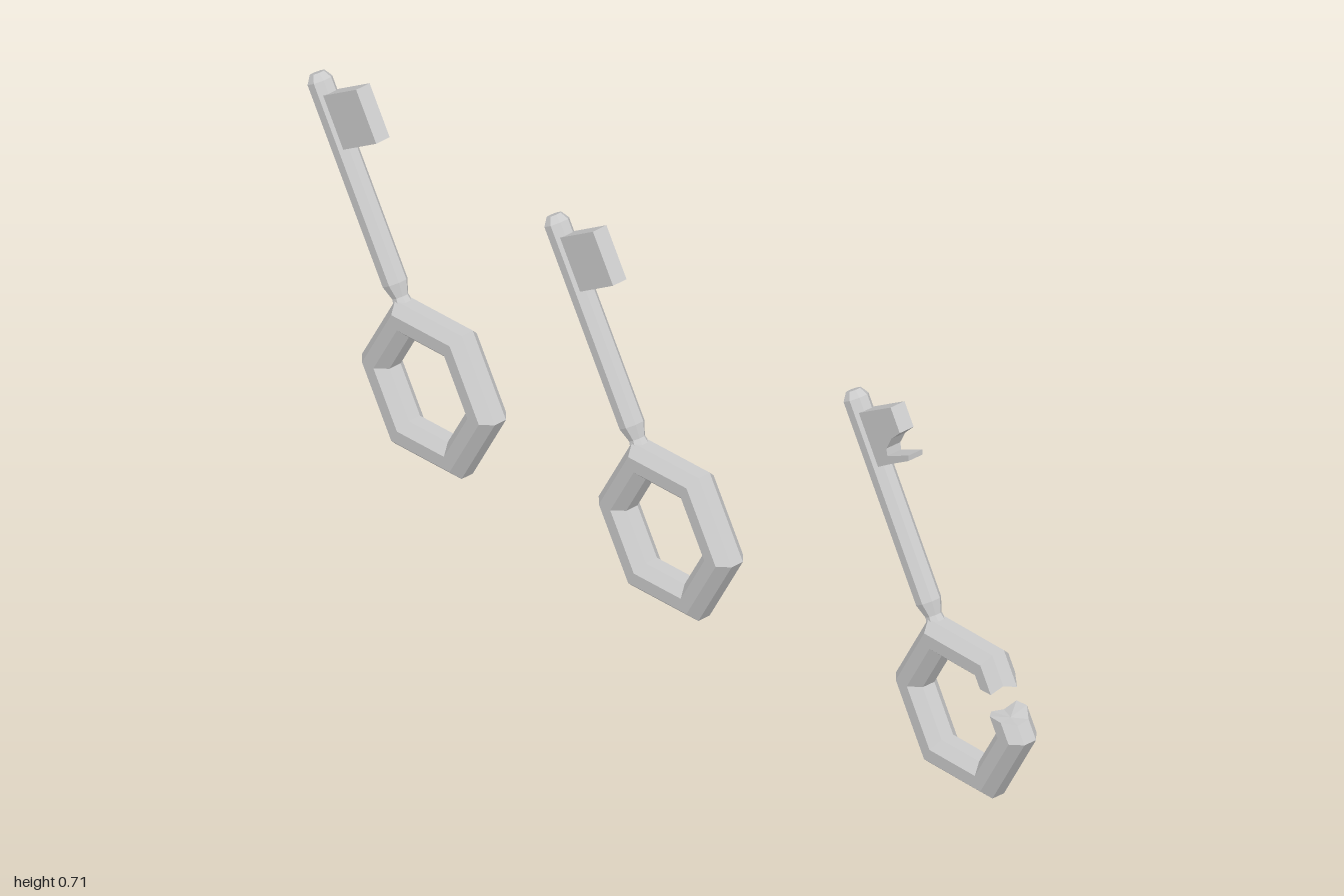
import * as THREE from 'three';

const SIDES = 8;
const RING_R = 0.139;   // centre line of the hexagonal bow
const RAD = 0.034, DEPTH = 0.037;

function material() {
  return new THREE.MeshStandardMaterial({ color: 0xcccccc, flatShading: true });
}

function part(name, geometry) {
  const mesh = new THREE.Mesh(geometry, material());
  mesh.name = name;
  return mesh;
}

// Mitred station at a corner of the hexagon
function corner(k) {
  const a = k * Math.PI / 3;
  return { x: RING_R * Math.cos(a), y: RING_R * Math.sin(a), a, stretch: 1 / Math.cos(Math.PI / 6), shift: null };
}

// Ragged station on the upper right side; t runs from the right corner (0) to the upper one (1)
function cut(t, shift) {
  const p = corner(0), q = corner(1);
  return { x: p.x + (q.x - p.x) * t, y: p.y + (q.y - p.y) * t, a: Math.PI / 6, stretch: 1, shift };
}

// Octagonal bar swept through the stations
function sweep(stations, closed) {
  const pos = [], idx = [], n = stations.length;
  for (const s of stations) {
    for (let j = 0; j < SIDES; j++) {
      const phi = (j + 0.5) * 2 * Math.PI / SIDES;
      const r = RAD * Math.cos(phi) * s.stretch;
      const along = s.shift ? s.shift[j] : 0;
      pos.push(
        s.x + r * Math.cos(s.a) - along * Math.sin(s.a),
        s.y + r * Math.sin(s.a) + along * Math.cos(s.a),
        DEPTH * Math.sin(phi));
    }
  }
  for (let i = 0; i < (closed ? n : n - 1); i++) {
    for (let j = 0; j < SIDES; j++) {
      const k = (j + 1) % SIDES, m = ((i + 1) % n) * SIDES;
      idx.push(i * SIDES + j, m + j, i * SIDES + k, m + j, m + k, i * SIDES + k);
    }
  }
  if (!closed) {
    for (const i of [0, n - 1]) {
      const c = pos.length / 3, s = stations[i];
      pos.push(s.x, s.y, 0);
      for (let j = 0; j < SIDES; j++) {
        const p = i * SIDES + j, q = i * SIDES + (j + 1) % SIDES;
        if (i === 0) idx.push(c, p, q); else idx.push(c, q, p);
      }
    }
  }
  const g = new THREE.BufferGeometry();
  g.setAttribute('position', new THREE.Float32BufferAttribute(pos, 3));
  g.setIndex(idx);
  g.computeVertexNormals();
  return g;
}

function makeKey(broken) {
  const key = new THREE.Group();

  // Hexagonal bow, snapped open on the broken key
  const stations = [];
  if (broken) stations.push(cut(0.7, [0, -0.008, 0.006, 0.004, -0.004, 0.008, 0.012, -0.012]));
  for (let k = 1; k <= 6; k++) stations.push(corner(k));
  if (broken) stations.push(cut(0.25, [-0.015, 0, 0.016, 0.02, 0.014, 0.022, 0.01, -0.012]));
  key.add(part('bow', sweep(stations, !broken)));

  // Shaft and bit lie along a line leaving the upper left corner
  const stem = new THREE.Group();
  stem.name = 'stem';
  stem.rotation.z = Math.PI / 6;
  key.add(stem);

  const profile = [[0, 0.13], [0.024, 0.14], [0.016, 0.178], [0.025, 0.205],
    [0.025, 0.602], [0.015, 0.617], [0, 0.617]];
  const shaft = part('shaft', new THREE.LatheGeometry(profile.map(p => new THREE.Vector2(...p)), SIDES));
  shaft.rotation.y = Math.PI / SIDES;
  stem.add(shaft);

  // Square bit, or one with a bite torn out
  const outline = broken
    ? [[0, 0.47], [0.05, 0.472], [0.112, 0.472], [0.118, 0.482], [0.055, 0.488], [0.06, 0.502],
      [0.085, 0.518], [0.116, 0.526], [0.116, 0.576], [0, 0.576]]
    : [[0, 0.47], [0.116, 0.47], [0.116, 0.576], [0, 0.576]];
  const bit = part('bit', new THREE.ExtrudeGeometry(
    new THREE.Shape(outline.map(p => new THREE.Vector2(...p))),
    { depth: 0.034, bevelEnabled: false }));
  bit.position.z = -0.017;
  stem.add(bit);
  return key;
}

export function createModel() {
  const model = new THREE.Group();
  model.name = 'keys';
  const layout = [
    ['leftKey', -0.67, 0.055, false],
    ['middleKey', -0.006, 0.055, false],
    ['brokenKey', 0.822, 0.022, true],
  ];
  for (const [name, x, yaw, broken] of layout) {
    const key = makeKey(broken);
    key.name = name;
    key.position.set(x, 0.154, -0.003);
    key.rotation.y = yaw;
    model.add(key);
  }
  return model;
}
